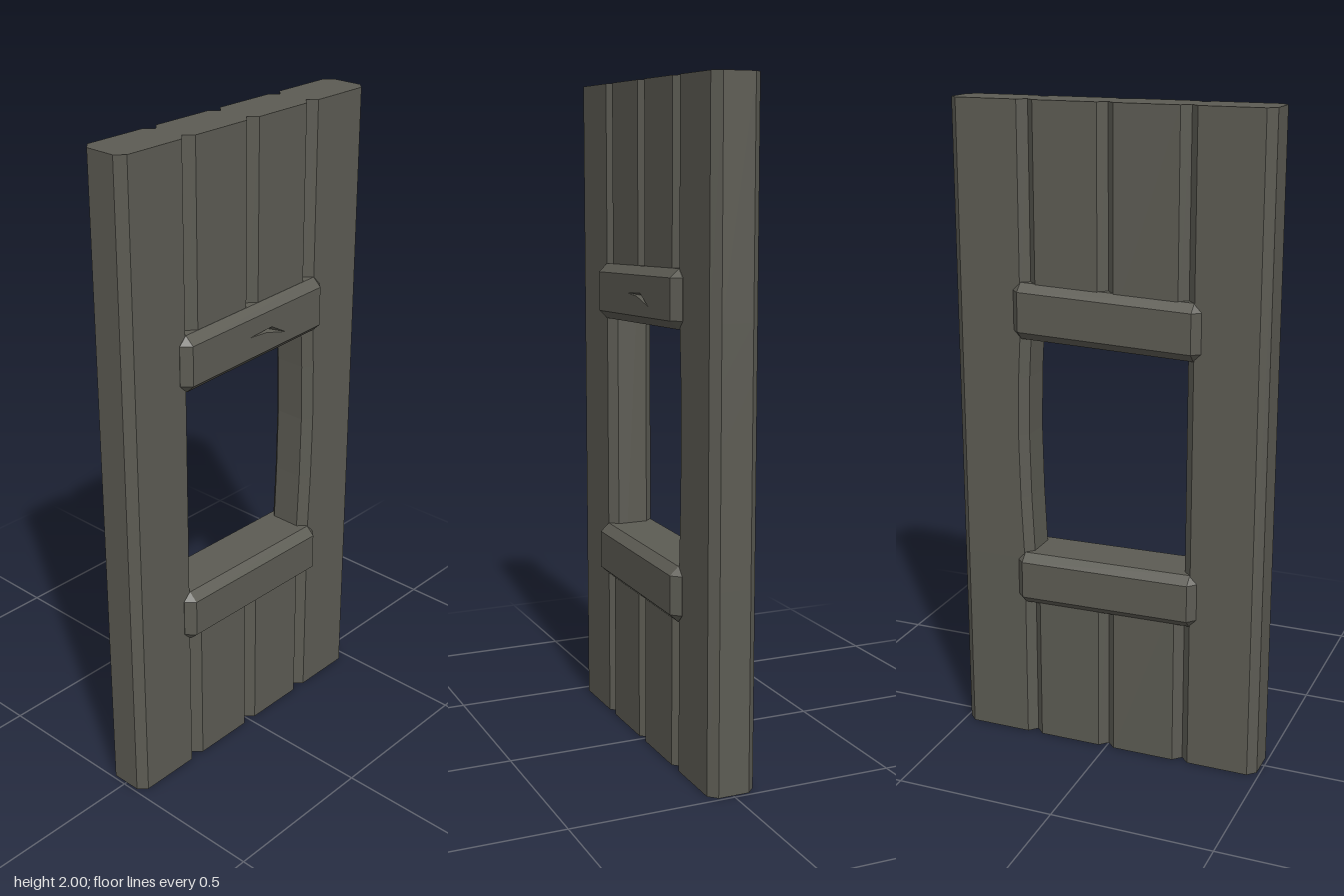
import * as THREE from 'three';

const material = new THREE.MeshStandardMaterial({ color: 0x5c5b53, flatShading: true });
const C = 0.025; // chamfer width

function makeMesh(name, points) {
  const geometry = new THREE.BufferGeometry().setFromPoints(points);
  geometry.computeVertexNormals();
  const mesh = new THREE.Mesh(geometry, material);
  mesh.name = name;
  return mesh;
}

// Triangles joining equal-length rings that run counter-clockwise about the path
function loft(rings, capEnd = true) {
  const tris = [];
  const n = rings[0].length;
  const last = rings[rings.length - 1];
  for (let i = 0; i < rings.length - 1; i++) {
    for (let j = 0; j < n; j++) {
      const k = (j + 1) % n;
      const [a, b, c, d] = [rings[i][j], rings[i][k], rings[i + 1][k], rings[i + 1][j]];
      tris.push(a, b, c, a, c, d);
    }
  }
  for (let j = 1; j < n - 1; j++) {
    tris.push(rings[0][0], rings[0][j + 1], rings[0][j]);
    if (capEnd) tris.push(last[0], last[j], last[j + 1]);
  }
  return tris.map((p) => p.clone());
}

// Upright board with chamfered long edges; levels are [y, shift of its -x edge]
function plank(name, left, right, levels) {
  const zf = 0.071, zb = -0.074;
  const rings = levels.map(([y, bow]) => {
    const x0 = left + bow;
    return [
      [x0 + C, zf], [right - C, zf], [right, zf - C], [right, zb + C],
      [right - C, zb], [x0 + C, zb], [x0, zb + C], [x0, zf - C],
    ].map(([x, z]) => new THREE.Vector3(x, y, z));
  });
  return makeMesh(name, loft(rings));
}

// Chamfered crossbar, sheared to sit slightly crooked; chip is an optional dent outline
function rail(name, y, h, slope, chip) {
  const w = 0.295, zMid = 0.072, zFace = 0.099;
  const outline = [
    [w, -h + C], [w, h - C], [w - C, h], [-w + C, h],
    [-w, h - C], [-w, -h + C], [-w + C, -h], [w - C, -h],
  ];
  const ring = (z, inset) => outline.map(([px, py]) => new THREE.Vector3(
    inset ? Math.sign(px) * (w - C) : px,
    inset ? Math.sign(py) * (h - C) : py, z));
  const tris = loft(
    [ring(-zFace, true), ring(-zMid, false), ring(zMid, false), ring(zFace, true)], !chip);

  if (chip) {
    // Front face with the dent cut out, then the sloping walls of the dent
    const a = w - C, b = h - C;
    const corners = [[-a, -b], [a, -b], [a, b], [-a, b]];
    const face = new THREE.Shape(corners.map((p) => new THREE.Vector2(...p)));
    face.holes.push(new THREE.Path(chip.map((p) => new THREE.Vector2(...p))));
    const flat = new THREE.ShapeGeometry(face).toNonIndexed().attributes.position;
    for (let i = 0; i < flat.count; i++) {
      tris.push(new THREE.Vector3().fromBufferAttribute(flat, i).setZ(zFace));
    }
    const deep = new THREE.Vector3(0.05, 0, zFace - 0.014);
    chip.forEach((p, i) => {
      const q = chip[(i + 1) % chip.length];
      tris.push(new THREE.Vector3(...p, zFace), new THREE.Vector3(...q, zFace), deep.clone());
    });
  }
  tris.forEach((p) => { p.y += y + slope * p.x; });
  return makeMesh(name, tris);
}

export function createModel() {
  const group = new THREE.Group();
  group.name = 'plankDoor';

  // Full-height outer boards; the left one is worn hollow beside the opening
  group.add(plank('rightOuterPlank', -0.49, -0.247, [[0, 0], [2, 0]]));
  group.add(plank('leftOuterPlank', 0.247, 0.49, [
    [0, 0], [0.6, 0], [0.8, 0.009], [1, 0.013], [1.18, 0.009], [1.34, 0], [2, 0],
  ]));

  // Short middle boards above and below the opening
  for (const [side, x0, x1] of [['right', -0.247, 0], ['left', 0, 0.247]]) {
    group.add(plank(`${side}LowerPlank`, x0, x1, [[0, 0], [0.54, 0]]));
    group.add(plank(`${side}UpperPlank`, x0, x1, [[1.38, 0], [2, 0]]));
  }

  // Crossbars framing the opening
  group.add(rail('lowerRail', 0.542, 0.083, -0.012));
  group.add(rail('upperRail', 1.38, 0.085, 0.034,
    [[-0.04, 0.005], [0.03, -0.002], [0.115, -0.028], [0.055, 0.008]]));
  return group;
}
